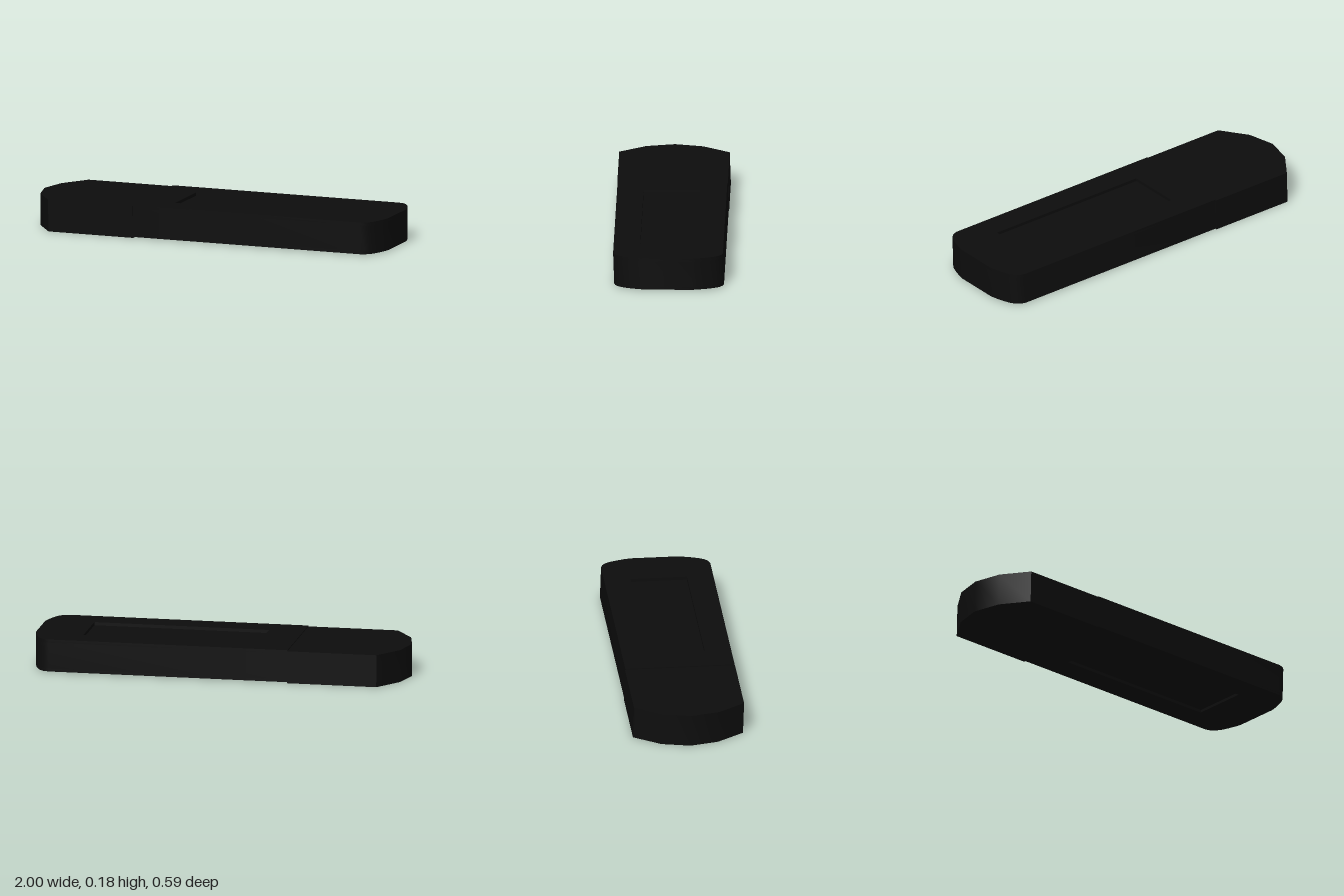
import * as THREE from 'three';
import { toCreasedNormals } from 'three/addons/utils/BufferGeometryUtils.js';

const HALF = 0.29; // half width of the stick
const SEAM = -0.385; // where the cap meets the body

// Closed outline mirrored across the long axis from one half of its points
function mirroredShape(half) {
  const points = half.map(([x, y]) => new THREE.Vector2(x, y));
  const mirrored = half.filter(([, y]) => y !== 0).reverse().map(([x, y]) => new THREE.Vector2(x, -y));
  return new THREE.Shape([...points, ...mirrored]);
}

// Extrudes an outline upward between two heights, with the slight sideways lean
function slab(name, shape, bottom, top, material) {
  let geometry = new THREE.ExtrudeGeometry(shape, { depth: top - bottom, bevelEnabled: false });
  geometry.rotateX(-Math.PI / 2).translate(0, bottom, 0);
  const position = geometry.attributes.position;
  for (let i = 0; i < position.count; i++) {
    position.setZ(i, position.getZ(i) + 0.034 * (position.getY(i) - 0.088));
  }
  geometry = toCreasedNormals(geometry, 0.5);
  const mesh = new THREE.Mesh(geometry, material);
  mesh.name = name;
  return mesh;
}

export function createModel() {
  const model = new THREE.Group();
  model.name = 'memoryStick';
  const plastic = new THREE.MeshStandardMaterial({ color: 0x0d0d0d });

  // Body outline with a rounded far end
  const bodyHalf = [
    [SEAM, HALF], [0.9, HALF], [0.927, 0.282], [0.949, 0.264],
    [0.966, 0.237], [0.98, 0.2], [0.992, 0.16], [1, 0.125],
  ];
  const bodyShape = mirroredShape(bodyHalf);

  // Same outline with a rectangular opening for the shallow panels
  const frameShape = mirroredShape(bodyHalf);
  frameShape.holes.push(new THREE.Path([
    new THREE.Vector2(-0.2, -0.15), new THREE.Vector2(0.74, -0.15),
    new THREE.Vector2(0.74, 0.15), new THREE.Vector2(-0.2, 0.15),
  ]));

  const body = new THREE.Group();
  body.name = 'body';
  body.add(
    slab('bodyCore', bodyShape, 0.02, 0.16, plastic),
    slab('topPanelFrame', frameShape, 0.16, 0.177, plastic),
    slab('bottomPanelFrame', frameShape, 0.005, 0.02, plastic),
  );

  // Cap with a faceted tip, set a hair lower than the body
  const capShape = mirroredShape([
    [-1, 0], [-0.965, 0.15], [-0.865, HALF + 0.002], [SEAM, HALF + 0.002],
  ]);
  const cap = slab('cap', capShape, 0, 0.172, plastic);

  model.add(body, cap);
  return model;
}
